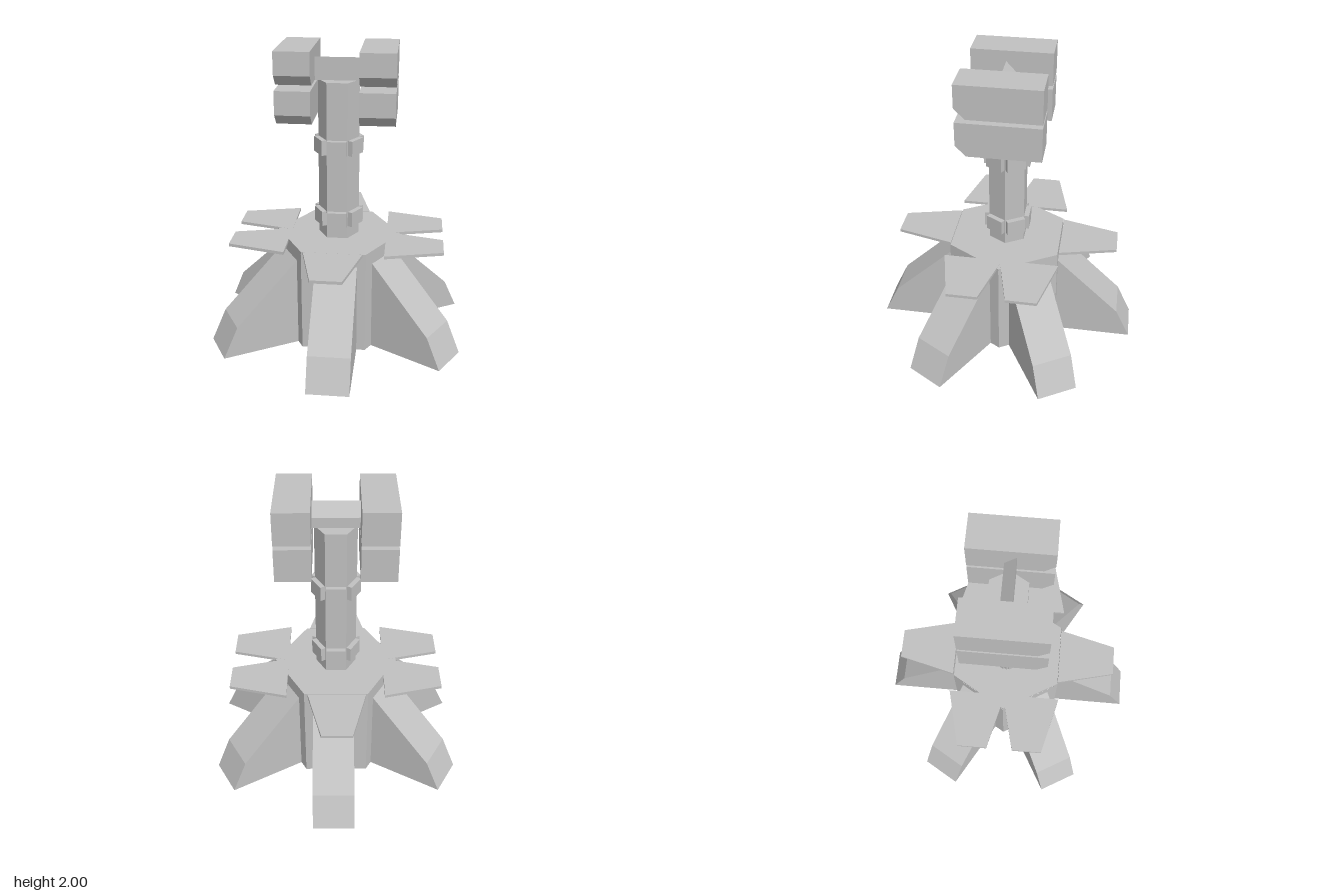
import * as THREE from 'three';

const grey = new THREE.MeshStandardMaterial({ color: 0xc0c0c0, side: THREE.DoubleSide });
grey.name = 'plain grey';

// Faceted mesh: every face gets its own flat normal
function part(name, geometry, parent) {
  const geo = geometry.index ? geometry.toNonIndexed() : geometry;
  geo.computeVertexNormals();
  const mesh = new THREE.Mesh(geo, grey);
  mesh.name = name;
  parent.add(mesh);
  return mesh;
}

// Six-sided prism with corners on the x axis
function hexPrism(radius, y0, y1, open = false) {
  return new THREE.CylinderGeometry(radius, radius, y1 - y0, 6, 1, open)
    .rotateY(Math.PI / 6)
    .translate(0, (y0 + y1) / 2, 0);
}

// Solid between x0 and x1 from a side profile of [z, y] points
function sideProfile(points, x0, x1) {
  const shape = new THREE.Shape(points.map(([z, y]) => new THREE.Vector2(-z, y)));
  return new THREE.ExtrudeGeometry(shape, { depth: x1 - x0, bevelEnabled: false })
    .rotateY(Math.PI / 2)
    .translate(x0, 0, 0);
}

// Hollow buttress along +z, open below and against the core
function buttress() {
  const w = 0.1375;
  const profile = [[0.9, 0], [0.8, 0.21], [0.365, 0.625], [0.365, 0]];
  const pos = [];
  const at = (i, x) => [x, profile[i][1], profile[i][0]];
  for (let i = 0; i < 2; i++) {
    const a = at(i, -w), b = at(i, w), c = at(i + 1, w), d = at(i + 1, -w);
    pos.push(...a, ...b, ...c, ...a, ...c, ...d);
  }
  for (const [i, j] of [[0, 1], [1, 2]]) {
    pos.push(...at(3, -w), ...at(i, -w), ...at(j, -w));
    pos.push(...at(3, w), ...at(j, w), ...at(i, w));
  }
  const geo = new THREE.BufferGeometry();
  geo.setAttribute('position', new THREE.Float32BufferAttribute(pos, 3));
  return geo;
}

export function createModel() {
  const model = new THREE.Group();
  model.name = 'launcherTower';

  // Base: hollow core with a thin deck
  part('core', hexPrism(0.426, 0, 0.7, true), model);
  part('deck', hexPrism(0.424, 0.695, 0.714), model);

  // Buttress legs, one on each face of the core
  for (let i = 0; i < 6; i++) {
    const leg = part('buttressLeg', buttress(), model);
    leg.rotation.y = i * Math.PI / 3;
    if (i % 3 === 0) leg.position.x = 0.018;
  }

  // Tapered petals around the deck
  const petalShape = new THREE.Shape([[-0.195, 0], [0.195, 0], [0.1, 0.385], [-0.1, 0.385]]
    .map(([x, y]) => new THREE.Vector2(x, y)));
  const petals = [
    [-0.005, 0.37, 0], [-0.005, -0.375, Math.PI],
    [0.33, -0.19, Math.PI / 2], [0.33, 0.187, Math.PI / 2],
    [-0.325, -0.19, -Math.PI / 2], [-0.325, 0.187, -Math.PI / 2],
  ];
  for (const [x, z, turn] of petals) {
    const geo = new THREE.ExtrudeGeometry(petalShape, { depth: 0.02, bevelEnabled: false })
      .rotateX(Math.PI / 2);
    const petal = part('petal', geo, model);
    petal.position.set(x, 0.715, z);
    petal.rotation.y = turn;
  }

  // Column with two rings of clamp blocks
  part('column', hexPrism(0.137, 0.7, 1.78), model);
  for (const y of [0.853, 1.35]) {
    const ring = new THREE.Group();
    ring.name = 'clampRing';
    model.add(ring);
    for (let i = 0; i < 6; i++) {
      const geo = new THREE.BoxGeometry(0.127, 0.102, 0.04).translate(0, y, 0.132);
      part('clampBlock', geo, ring).rotation.y = i * Math.PI / 3;
    }
  }

  // Cross beam with a sloped back
  part('crossBeam', sideProfile(
    [[0.037, 1.78], [0.037, 1.93], [-0.037, 1.85], [-0.037, 1.78]], -0.155, 0.152), model);

  // Four pods with a chamfered lower front edge
  for (const x0 of [-0.38, 0.15]) {
    for (const [y0, y1] of [[1.53, 1.755], [1.78, 2]]) {
      part('pod', sideProfile(
        [[-0.263, y0], [0.2, y0], [0.267, y0 + 0.07], [0.267, y1], [-0.263, y1]],
        x0, x0 + 0.228), model);
    }
  }
  return model;
}
